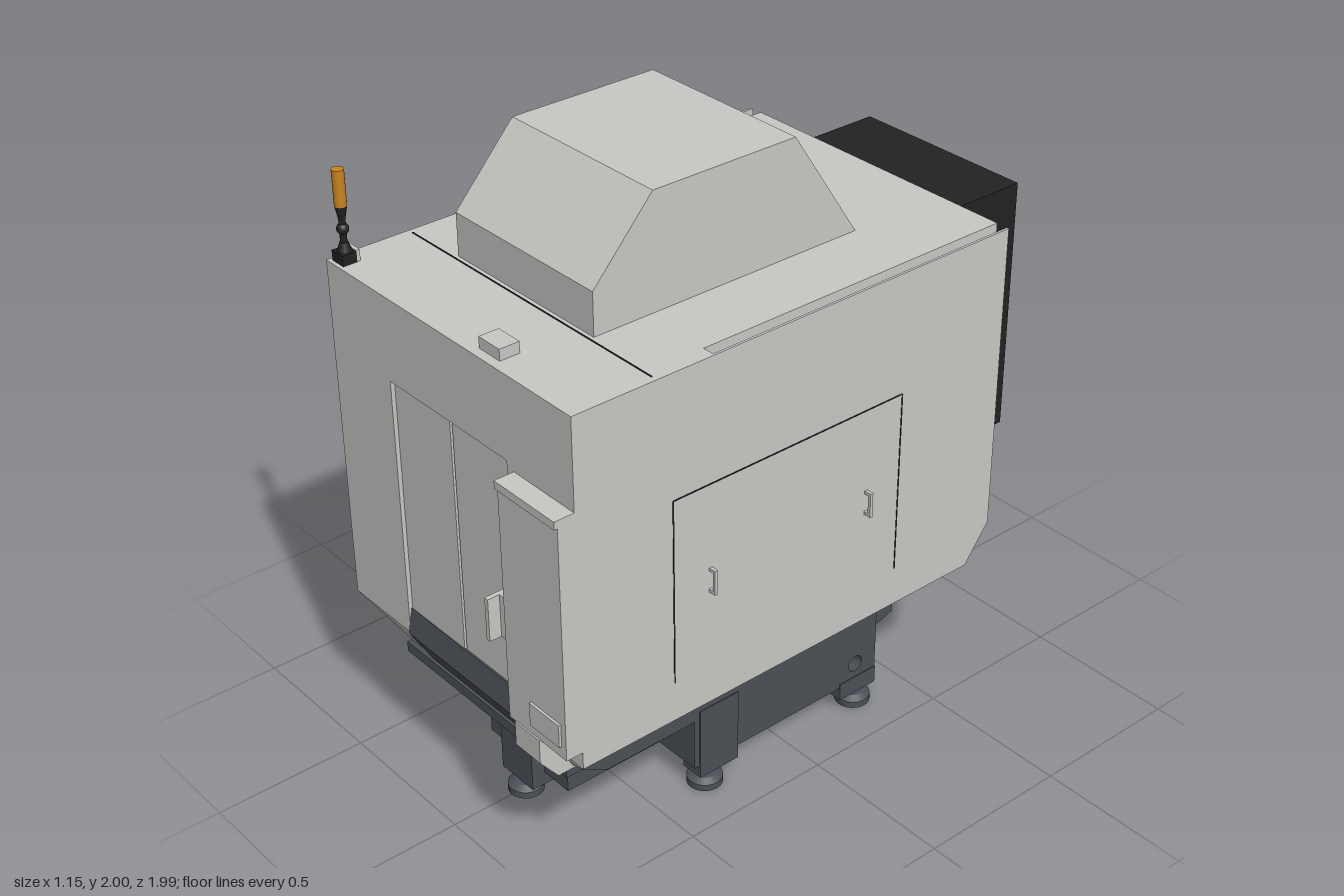
import * as THREE from 'three';

const mat = (name, color) => Object.assign(new THREE.MeshStandardMaterial({ color }), { name });

export function createModel() {
  const root = new THREE.Group();
  root.name = 'machiningCentre';
  const grey = mat('panel grey', 0xc8c8c5);
  const slate = mat('slate base', 0x4c5157);
  const black = mat('cabinet black', 0x222222);
  const amber = mat('amber lens', 0xc9831f);

  const add = (name, geo, m) => {
    const mesh = new THREE.Mesh(geo, m);
    mesh.name = name;
    root.add(mesh);
    return mesh;
  };
  // box given by its limits
  const box = (name, m, x0, x1, y0, y1, z0, z1) =>
    add(name, new THREE.BoxGeometry(x1 - x0, y1 - y0, z1 - z0)
      .translate((x0 + x1) / 2, (y0 + y1) / 2, (z0 + z1) / 2), m);
  const path = (pts) => new THREE.Shape(pts.map((p) => new THREE.Vector2(...p)));
  // side profile of [z, y] points, extruded across x
  const across = (name, m, x0, x1, pts, holes = []) => {
    const s = path(pts);
    s.holes = holes;
    const g = new THREE.ExtrudeGeometry(s, { depth: x1 - x0, bevelEnabled: false, curveSegments: 10 });
    return add(name, g.rotateY(-Math.PI / 2).translate(x1, 0, 0), m);
  };
  const ring = (z, y, r) => new THREE.Path().absarc(z, y, r, 0, Math.PI * 2, true);
  // box whose top and bottom rectangles differ: [halfX, zBack, zFront]
  const taper = (name, m, y0, bottom, y1, top) => {
    const g = new THREE.BoxGeometry(2, 2, 2);
    const p = g.attributes.position;
    for (let i = 0; i < p.count; i++) {
      const up = p.getY(i) > 0;
      const [hx, zb, zf] = up ? top : bottom;
      p.setXYZ(i, p.getX(i) * hx, up ? y1 : y0, p.getZ(i) > 0 ? zf : zb);
    }
    g.computeVertexNormals();
    return add(name, g, m);
  };
  const cyl = (name, m, r0, r1, y0, y1, x, z, n = 20) =>
    add(name, new THREE.CylinderGeometry(r1, r0, y1 - y0, n).translate(x, (y0 + y1) / 2, z), m);

  // enclosure
  across('enclosure', grey, -0.505, 0.505,
    [[0.9, 0.52], [0.9, 1.64], [-0.64, 1.64], [-0.64, 0.64], [-0.55, 0.52]]);
  for (const s of [-1, 1]) {
    const span = (a, b) => (s > 0 ? [a, b] : [-b, -a]);
    across('sidePanel', grey, ...span(0.505, 0.55),
      [[0.9, 0.52], [0.9, 1.64], [0.46, 1.64], [0.46, 1.59], [-0.64, 1.59], [-0.64, 0.64], [-0.55, 0.52]]);
    box('roofEdge', grey, ...span(0.542, 0.55), 1.59, 1.64, -0.64, 0.46);
    // side door seams and handles
    const seam = span(0.549, 0.5515);
    for (const z of [-0.24, 0.605]) box('sideSeam', black, ...seam, 0.65, 1.25, z - 0.002, z + 0.002);
    box('sideSeamTop', black, ...seam, 1.248, 1.252, -0.24, 0.605);
    for (const z of [-0.11, 0.475]) {
      box('sideHandleGrip', grey, ...span(0.565, 0.575), 0.9, 0.98, z - 0.005, z + 0.005);
      for (const y of [0.9, 0.97]) box('sideHandleEnd', grey, ...span(0.549, 0.566), y, y + 0.01, z - 0.005, z + 0.005);
    }
  }
  taper('lowerSkirt', grey, 0.385, [0.37, -0.47, 0.85], 0.52, [0.55, -0.55, 0.93]);
  box('roofSeam', black, -0.53, 0.53, 1.639, 1.642, 0.653, 0.657);

  // front wall with a doorway open at the bottom
  add('frontWall', new THREE.ExtrudeGeometry(path([[-0.55, 0.52], [-0.27, 0.52], [-0.27, 1.375], [0.265, 1.375],
    [0.265, 0.52], [0.55, 0.52], [0.55, 1.64], [-0.55, 1.64]]), { depth: 0.03, bevelEnabled: false })
    .translate(0, 0, 0.9), grey);
  box('leftDoor', grey, -0.003, 0.263, 0.6, 1.372, 0.89, 0.914);
  box('rightDoor', grey, -0.268, -0.008, 0.6, 1.365, 0.89, 0.918);
  across('doorSill', slate, -0.27, 0.263,
    [[0.89, 0.6], [0.89, 0.52], [0.83, 0.39], [0.857, 0.385], [0.937, 0.52], [0.92, 0.603]]);
  box('doorHandleGrip', grey, 0.205, 0.22, 0.79, 0.93, 0.945, 0.985);
  box('doorHandlePlate', grey, 0.205, 0.255, 0.79, 0.93, 0.912, 0.946);

  // control panel
  box('controlPanel', grey, 0.295, 0.55, 0.577, 1.355, 0.929, 0.985);
  box('controlPanelLip', grey, 0.295, 0.55, 1.33, 1.355, 0.98, 0.995);
  box('keypad', grey, 0.4, 0.53, 0.615, 0.69, 0.98, 0.993);
  across('controlPanelFoot', grey, 0.325, 0.435,
    [[0.93, 0.58], [0.86, 0.425], [0.93, 0.425], [0.99, 0.5], [0.99, 0.58]]);

  // roof hood and small roof box
  across('roofHood', grey, -0.33, 0.275,
    [[0.64, 1.635], [0.64, 1.775], [0.435, 2], [-0.065, 2], [-0.305, 1.635]]);
  box('roofBox', grey, 0.125, 0.215, 1.635, 1.675, 0.835, 0.9);

  // signal lamp
  box('lampBracket', grey, -0.535, -0.485, 1.635, 1.675, 0.86, 0.872);
  box('lampBase', black, -0.537, -0.483, 1.635, 1.672, 0.872, 0.918);
  cyl('lampCollar', black, 0.022, 0.012, 1.67, 1.7, -0.51, 0.893);
  cyl('lampStem', black, 0.01, 0.01, 1.69, 1.79, -0.51, 0.893);
  add('lampJoint', new THREE.SphereGeometry(0.018, 16, 10).translate(-0.51, 1.74, 0.893), black);
  cyl('lampCup', black, 0.01, 0.018, 1.77, 1.81, -0.51, 0.893);
  cyl('lampLens', amber, 0.018, 0.018, 1.81, 1.92, -0.51, 0.893);

  // electrical cabinet
  box('cabinet', black, -0.34, 0.295, 0.753, 1.59, -0.955, -0.66);
  box('cabinetMount', black, -0.325, 0.28, 0.77, 1.54, -0.66, -0.638);
  box('coolingUnit', black, -0.4, -0.34, 0.92, 1.4, -0.89, -0.71);
  box('coolingUnitHead', black, -0.415, -0.34, 1.36, 1.44, -0.9, -0.7);
  box('switchPlate', black, -0.28, -0.22, 0.965, 1.02, -0.967, -0.954);
  add('switchKnob', new THREE.CylinderGeometry(0.015, 0.015, 0.03, 16)
    .rotateX(Math.PI / 2).translate(-0.25, 0.992, -0.978), black);

  // cabinet support brackets with cut-outs
  for (const x of [-0.27, 0.23]) {
    across('cabinetBracket', black, x - 0.025, x + 0.025,
      [[-0.65, 0.755], [-0.86, 0.755], [-0.82, 0.715], [-0.82, 0.6], [-0.53, 0.24], [-0.5, 0.23],
        [-0.5, 0.41], [-0.655, 0.61]],
      [[[-0.69, 0.725], [-0.79, 0.725], [-0.79, 0.625], [-0.745, 0.58], [-0.69, 0.62]],
        [[-0.665, 0.59], [-0.73, 0.545], [-0.68, 0.48], [-0.615, 0.53]],
        [[-0.595, 0.5], [-0.65, 0.45], [-0.59, 0.37], [-0.54, 0.385], [-0.54, 0.43]]].map(path));
  }

  // base casting
  box('deck', slate, -0.39, 0.39, 0.355, 0.39, -0.49, 0.87);
  taper('deckUnderside', slate, 0.335, [0.36, -0.48, 0.83], 0.356, [0.38, -0.49, 0.86]);
  across('frontBeam', slate, -0.19, 0.19,
    [[0.83, 0.34], [0.72, 0.265], [0.72, 0.095], [0.3, 0.095], [0.3, 0.34]], [ring(0.64, 0.215, 0.028)]);
  across('frontSlope', slate, -0.355, 0.355, [[0.83, 0.34], [0.7, 0.27], [0.37, 0.27], [0.37, 0.34]]);
  box('frontLeg', slate, -0.075, 0.075, 0.05, 0.3, 0.68, 0.765);
  for (const x of [-0.355, 0.19]) {
    across('sideRail', slate, x, x + 0.165,
      [[0.37, 0.095], [0.37, 0.34], [-0.375, 0.34], [-0.375, 0.095]], [ring(-0.29, 0.16, 0.028)]);
  }
  box('rearBeam', slate, -0.19, 0.19, 0.12, 0.34, -0.375, -0.335);
  box('middleBeam', slate, -0.19, 0.19, 0.14, 0.34, -0.08, 0.02);
  across('rearTail', slate, -0.3, 0.3, [[-0.37, 0.19], [-0.37, 0.35], [-0.5, 0.37], [-0.5, 0.235]]);
  for (const s of [-1, 1]) {
    for (const z of [0.275, -0.3]) {
      const [a, b] = s > 0 ? [0.28, 0.358] : [-0.358, -0.28];
      box('sideLeg', slate, a, b, 0.05, 0.11, z - 0.075, z + 0.075);
      if (z > 0) box('sideLegWeb', slate, a, b, 0.1, 0.3, z - 0.075, z + 0.075);
    }
  }
  // levelling feet
  for (const [x, z] of [[0, 0.735], [-0.325, 0.305], [0.325, 0.305], [-0.325, -0.31], [0.325, -0.31]]) {
    cyl('footPad', slate, 0.056, 0.056, 0, 0.022, x, z, 24);
    cyl('footCone', slate, 0.056, 0.035, 0.022, 0.034, x, z, 24);
    cyl('footStem', slate, 0.016, 0.016, 0.03, 0.13, x, z);
  }
  return root;
}
